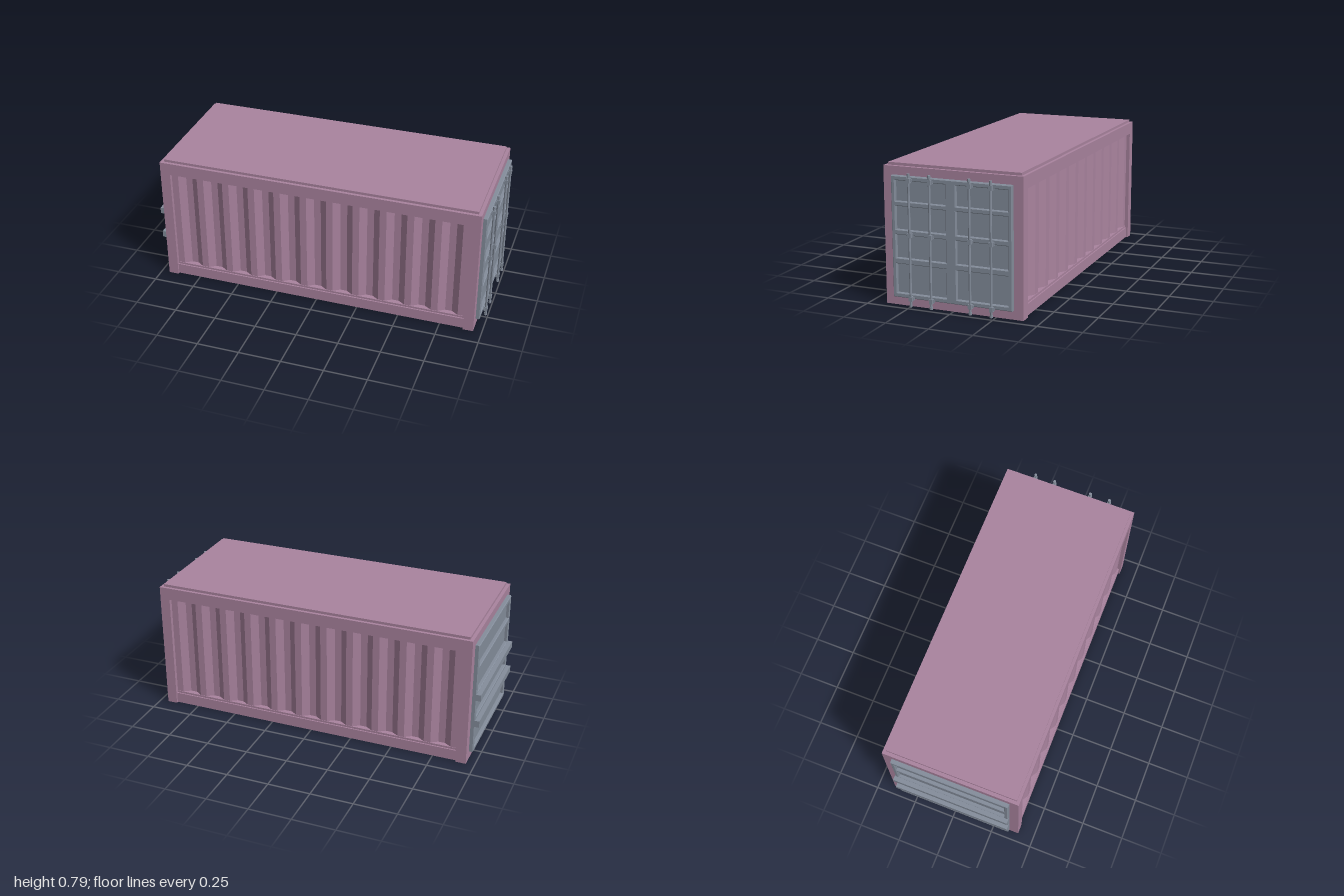
import * as THREE from 'three';

const paint = new THREE.MeshStandardMaterial({ color: 0xa9839e, flatShading: true });
const steel = new THREE.MeshStandardMaterial({ color: 0x848d9b, flatShading: true });

function add(parent, name, geometry, material, x = 0, y = 0, z = 0) {
  const mesh = new THREE.Mesh(geometry, material);
  mesh.name = name;
  mesh.position.set(x, y, z);
  parent.add(mesh);
  return mesh;
}

// Box given by its lower and upper corners
function box(parent, name, material, [x0, y0, z0], [x1, y1, z1]) {
  return add(parent, name, new THREE.BoxGeometry(x1 - x0, y1 - y0, z1 - z0), material,
    (x0 + x1) / 2, (y0 + y1) / 2, (z0 + z1) / 2);
}

function rectangle(Type, x0, y0, x1, y1) {
  return new Type([[x0, y0], [x1, y0], [x1, y1], [x0, y1]].map(p => new THREE.Vector2(...p)));
}

// Solid with trapezoid corrugations along both long sides
function corrugatedGeometry(halfLength, y0, y1) {
  const segments = 45, outer = 0.383, inner = 0.357;
  const side = [];
  for (let i = 0; i <= segments; i++) {
    const x = -halfLength + (2 * halfLength * i) / segments;
    side.push(new THREE.Vector2(x, i % 4 < 2 ? outer : inner));
  }
  const mirrored = side.map(p => new THREE.Vector2(p.x, -p.y));
  const shape = new THREE.Shape([...mirrored, ...side.reverse()]);
  const geometry = new THREE.ExtrudeGeometry(shape, { depth: y1 - y0, bevelEnabled: false });
  geometry.rotateX(-Math.PI / 2);
  geometry.translate(0, y0, 0);
  return geometry;
}

const rows = [[0.075, 0.24], [0.272, 0.402], [0.43, 0.56], [0.586, 0.70]];

// Framed end panel with recessed fields; columns are [start, end] pairs across the width
function endPanel(name, columns) {
  const panel = new THREE.Group();
  panel.name = name;
  const shape = rectangle(THREE.Shape, -0.35, 0.05, 0.35, 0.725);
  for (const [a, b] of columns) {
    for (const [y0, y1] of rows) shape.holes.push(rectangle(THREE.Path, a, y0, b, y1));
  }
  const bevel = 0.004;
  const frame = new THREE.ExtrudeGeometry(shape, {
    depth: 0.024 - bevel, bevelThickness: bevel, bevelSize: bevel, bevelOffset: -bevel, bevelSegments: 1,
  });
  add(panel, name + 'Frame', frame, steel);
  box(panel, name + 'Fields', steel, [-0.34, 0.06, -0.01], [0.34, 0.715, 0.005]);
  return panel;
}

export function createModel() {
  const model = new THREE.Group();
  model.name = 'shippingContainer';

  // Painted shell
  const shell = new THREE.Group();
  shell.name = 'shell';
  model.add(shell);
  for (const s of [-1, 1]) {
    const end = box(shell, s > 0 ? 'leftEndFrame' : 'rightEndFrame', paint,
      [-0.03, 0, -0.405], [0.03, 0.772, 0.405]);
    end.position.x = s * 0.92;
  }
  box(shell, 'topRails', paint, [-0.89, 0.70, -0.405], [0.89, 0.772, 0.405]);
  box(shell, 'bottomRails', paint, [-0.89, 0.002, -0.394], [0.89, 0.066, 0.394]);
  box(shell, 'sill', paint, [-0.89, 0.06, -0.386], [0.89, 0.078, 0.386]);
  box(shell, 'roofPlate', paint, [-0.93, 0.77, -0.387], [0.93, 0.787, 0.387]);
  add(shell, 'corrugatedWalls', corrugatedGeometry(0.89, 0.07, 0.705), paint);

  // Double door with four locking rods
  const doors = endPanel('doors', [[-0.327, -0.03], [0.03, 0.327]]);
  doors.position.x = 0.95;
  doors.rotation.y = Math.PI / 2;
  model.add(doors);
  for (const z of [-0.237, -0.115, 0.115, 0.237]) {
    const lock = new THREE.Group();
    lock.name = 'lockingRod';
    lock.position.set(0.987, 0, z);
    add(lock, 'rod', new THREE.CylinderGeometry(0.007, 0.007, 0.73, 8), steel, 0, 0.377, 0);
    for (const y of [0.016, 0.737]) {
      add(lock, 'rodEnd', new THREE.CylinderGeometry(0.009, 0.009, 0.015, 8), steel, 0, y, 0);
    }
    for (const y of [0.053, 0.408, 0.706]) {
      box(lock, 'bracketPlate', steel, [-0.016, y - 0.008, -0.015], [-0.008, y + 0.008, 0.015]);
      box(lock, 'bracket', steel, [-0.012, y - 0.013, -0.01], [0.009, y + 0.013, 0.01]);
    }
    model.add(lock);
  }

  // Closed end with two protruding bars
  const closedEnd = endPanel('closedEnd', [[-0.327, 0.327]]);
  closedEnd.position.x = -0.95;
  closedEnd.rotation.y = -Math.PI / 2;
  model.add(closedEnd);
  for (const [y0, y1] of [[0.218, 0.258], [0.386, 0.424]]) {
    box(model, 'bumperBar', steel, [-1, y0, -0.352], [-0.965, y1, 0.352]);
  }

  return model;
}
